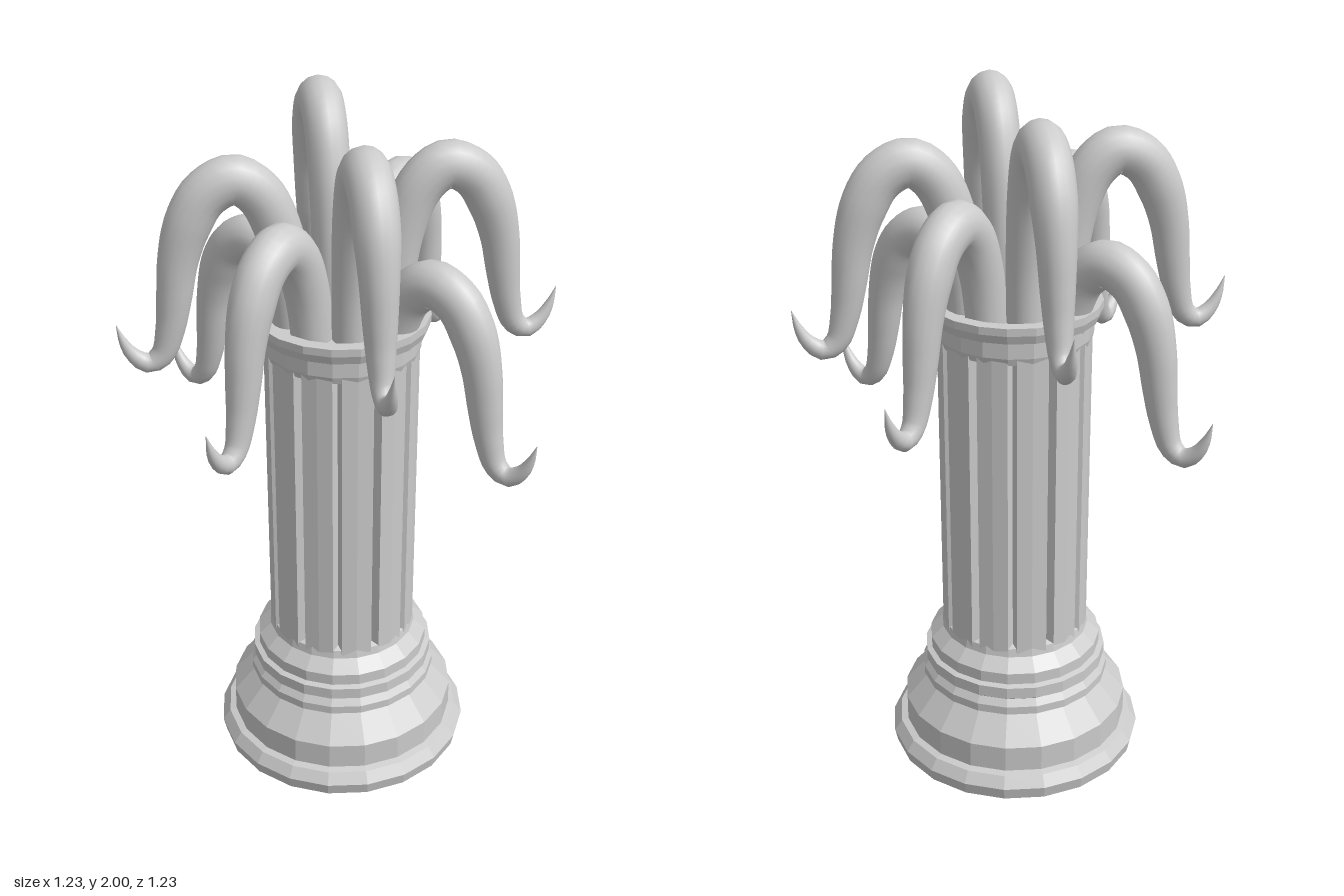
import * as THREE from 'three';
import { mergeVertices } from 'three/addons/utils/BufferGeometryUtils.js';

const stone = new THREE.MeshStandardMaterial({ color: 0xcccccc, flatShading: true });
const skin = new THREE.MeshStandardMaterial({ color: 0xcccccc });

function part(name, geometry, material) {
  const mesh = new THREE.Mesh(geometry, material);
  mesh.name = name;
  return mesh;
}

// Twenty-sided turned moulding from [radius, height] pairs
function turned(name, profile) {
  const points = profile.map(([r, y]) => new THREE.Vector2(r, y));
  return part(name, new THREE.LatheGeometry(points, 20, Math.PI / 20), stone);
}

// Shaft with twelve narrow V grooves
function flutedShaft() {
  const shape = new THREE.Shape();
  const step = Math.PI / 6, half = 0.06;
  const corner = (r, a, first) => shape[first ? 'moveTo' : 'lineTo'](r * Math.cos(a), r * Math.sin(a));
  for (let i = 0; i < 12; i++) {
    const a = i * step;
    corner(0.218, a - half, i === 0);
    corner(0.196, a);
    corner(0.218, a + half);
    corner(0.217, a + step / 2);
  }
  const geometry = new THREE.ExtrudeGeometry(shape, { depth: 0.98, bevelEnabled: false });
  geometry.rotateX(-Math.PI / 2).translate(0, 0.37, 0);
  return part('flutedShaft', geometry, stone);
}

// Radius along the tentacle, from [position, radius] keys
const girth = [[0, 0.058], [0.45, 0.066], [0.57, 0.064], [0.65, 0.055], [0.73, 0.048],
  [0.8, 0.04], [0.86, 0.032], [0.9, 0.026], [0.95, 0.015], [1, 0.0005]];
function radiusAt(u) {
  const i = Math.max(1, girth.findIndex(([k]) => u <= k));
  const [u0, r0] = girth[i - 1], [u1, r1] = girth[i];
  return THREE.MathUtils.lerp(r0, r1, (u - u0) / (u1 - u0));
}

// Arching, tapering tentacle with a hooked tip; its highest point is at y = 0
function tentacleGeometry() {
  const curve = new THREE.CatmullRomCurve3([
    [0.13, -0.62], [0.14, -0.4], [0.17, -0.22], [0.22, -0.11], [0.285, -0.067], [0.36, -0.1],
    [0.41, -0.18], [0.44, -0.28], [0.455, -0.38], [0.47, -0.47], [0.497, -0.55],
    [0.535, -0.572], [0.575, -0.545], [0.6, -0.5], [0.615, -0.45],
  ].map(([x, y]) => new THREE.Vector3(x, y, 0)));
  const rings = 64, sides = 16;
  const tube = new THREE.TubeGeometry(curve, rings, 1, sides);
  const pos = tube.attributes.position;
  const v = new THREE.Vector3();
  for (let i = 0; i < pos.count; i++) {
    const u = Math.floor(i / (sides + 1)) / rings;
    const centre = curve.getPointAt(u);
    v.fromBufferAttribute(pos, i).sub(centre).multiplyScalar(radiusAt(u));
    v.z *= 0.93;
    v.add(centre);
    pos.setXYZ(i, v.x, v.y, v.z);
  }
  tube.deleteAttribute('uv');
  tube.deleteAttribute('normal');
  const geometry = mergeVertices(tube, 1e-5);
  geometry.computeVertexNormals();
  return geometry;
}

export function createModel() {
  const model = new THREE.Group();
  model.name = 'tentacleColumn';

  // Column
  model.add(turned('base', [
    [0, 0], [0.375, 0], [0.383, 0.038], [0.36, 0.07], [0.34, 0.075], [0.34, 0.155],
    [0.275, 0.23], [0.283, 0.235], [0.283, 0.26], [0.268, 0.28], [0.274, 0.285],
    [0.274, 0.32], [0.258, 0.325], [0.258, 0.36], [0.222, 0.395], [0.217, 0.42], [0.19, 0.43],
  ]));
  model.add(flutedShaft());
  model.add(turned('capital', [
    [0.19, 1.31], [0.216, 1.32], [0.222, 1.34], [0.222, 1.385], [0.238, 1.39], [0.247, 1.415],
    [0.247, 1.437], [0.21, 1.437], [0.2, 1.415], [0, 1.415],
  ]));

  // Eight tentacles around the top, in four heights
  const tops = [1.65, 2, 1.785, 1.9];
  const geometry = tentacleGeometry();
  for (let k = 0; k < 8; k++) {
    const tentacle = part('tentacle' + (k + 1), geometry, skin);
    tentacle.position.y = tops[k % 4];
    tentacle.rotation.y = -k * Math.PI / 4;
    model.add(tentacle);
  }
  return model;
}
